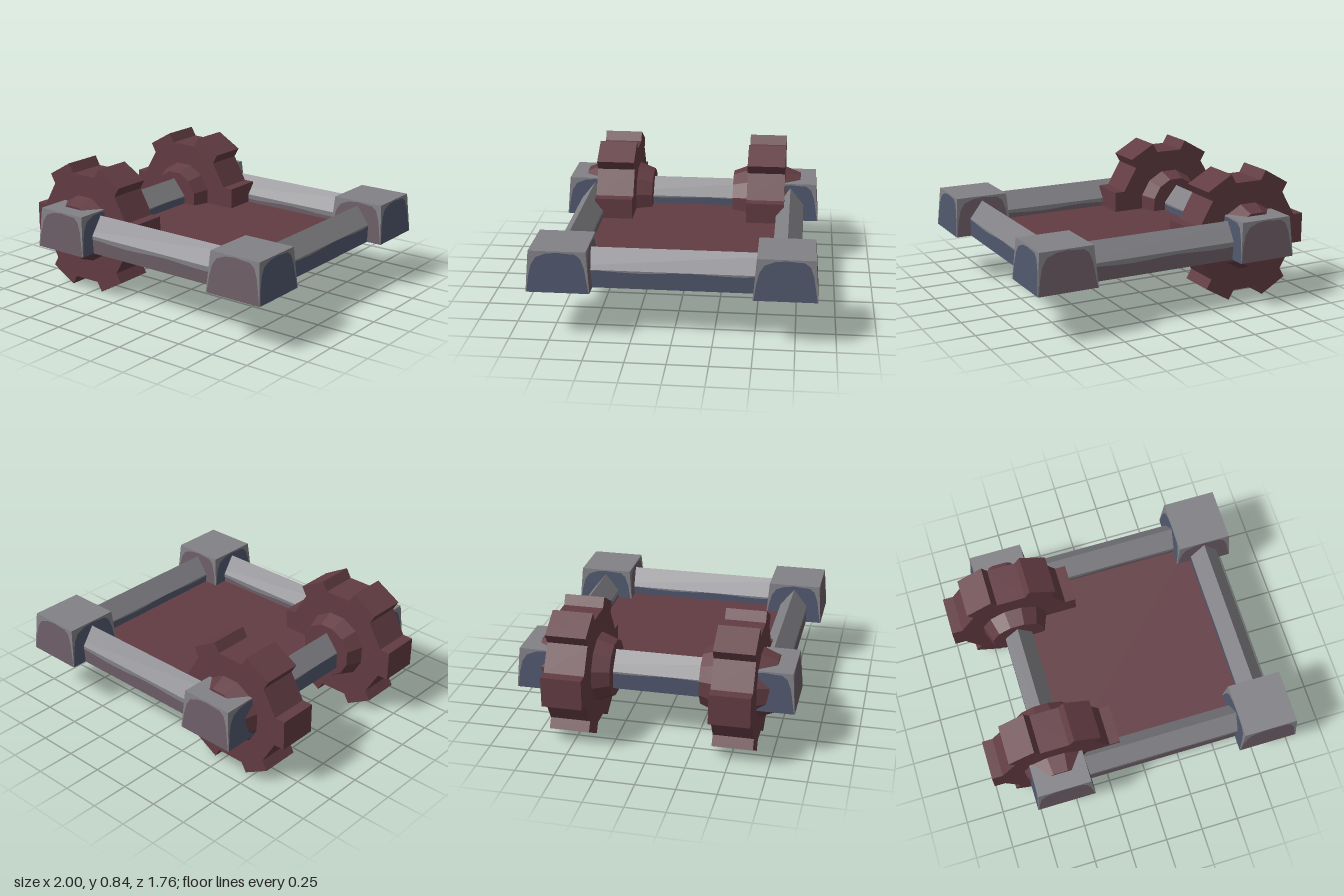
import * as THREE from 'three';

const BASE = 0.32, BLOCK_TOP = 0.58, EAVE = 0.435, RIDGE = 0.55;
const LEFT = -0.575, RIGHT = 0.805, SIDE = 0.685;
const RAIL_HALF = 0.092;

const material = (name, color) => {
  const m = new THREE.MeshStandardMaterial({ color, side: THREE.DoubleSide, flatShading: true });
  m.name = name;
  return m;
};

function mesh(name, geometry, mat) {
  const m = new THREE.Mesh(geometry, mat);
  m.name = name;
  return m;
}

const flat = points => new THREE.ShapeGeometry(new THREE.Shape(points.map(p => new THREE.Vector2(...p))));

// Outline of the worn paint on a block wall: u across (-1..1), v up (0..1)
const PATCH = [[-0.97, 0], [-0.94, 0.4], [-0.87, 0.68], [-0.72, 0.85], [-0.4, 0.94], [0, 0.97],
  [0.35, 0.95], [0.62, 0.94], [0.8, 0.84], [0.9, 0.6], [0.94, 0.3], [0.98, 0]];
const PATCH_BORDER = [[-1, 0], [-1, 1], [1, 1], [1, 0], ...PATCH.slice().reverse()];

// Lays a (u, v) outline on the sloping +z wall of a block
function blockWall(points) {
  const g = flat(points), pos = g.attributes.position;
  for (let i = 0; i < pos.count; i++) {
    const v = pos.getY(i), half = 0.195 - 0.02 * v;
    pos.setXYZ(i, pos.getX(i) * half, BASE + v * (BLOCK_TOP - BASE), half);
  }
  g.computeVertexNormals();
  return g;
}

// Two slopes of a rail roof along x
function roofGeometry(length) {
  const profile = [[RAIL_HALF, EAVE], [0, RIDGE], [-RAIL_HALF, EAVE]];
  const h = length / 2, verts = [];
  for (let i = 0; i < 2; i++) {
    const [z0, y0] = profile[i], [z1, y1] = profile[i + 1];
    verts.push(-h, y0, z0, h, y0, z0, h, y1, z1, -h, y0, z0, h, y1, z1, -h, y1, z1);
  }
  const g = new THREE.BufferGeometry();
  g.setAttribute('position', new THREE.Float32BufferAttribute(verts, 3));
  g.computeVertexNormals();
  return g;
}

// Six-toothed wheel with parallel-sided teeth
function gearGeometry() {
  const corners = [[0.357, -0.098], [0.4275, -0.098], [0.4275, 0.098], [0.357, 0.098]];
  const points = [];
  for (let i = 0; i < 6; i++) {
    for (const [x, y] of corners) {
      points.push(new THREE.Vector2(x, y).rotateAround(new THREE.Vector2(), i * Math.PI / 3));
    }
  }
  return new THREE.ExtrudeGeometry(new THREE.Shape(points), { depth: 0.256, bevelEnabled: false })
    .translate(0, 0, -0.128);
}

export function createModel() {
  const grey = material('frame grey', 0x818186);
  const mauve = material('worn mauve', 0x6b5c65);
  const blue = material('worn blue', 0x4f576c);
  const red = material('dark red', 0x623c43);
  const model = new THREE.Group();
  model.name = 'wheeledFrame';

  // Corner blocks, open underneath, with worn paint on each wall
  const patchGeo = blockWall(PATCH), borderGeo = blockWall(PATCH_BORDER);
  const topGeo = new THREE.PlaneGeometry(0.35, 0.35).rotateX(-Math.PI / 2).translate(0, BLOCK_TOP, 0);
  for (const x of [LEFT, RIGHT]) for (const z of [-SIDE, SIDE]) {
    const block = new THREE.Group();
    block.name = 'cornerBlock';
    block.add(mesh('blockTop', topGeo, grey));
    for (let i = 0; i < 4; i++) {
      const wall = new THREE.Group();
      wall.name = 'blockWall';
      wall.add(mesh('wallBorder', borderGeo, grey), mesh('wallPaint', patchGeo, i % 2 ? blue : mauve));
      wall.rotation.y = i * Math.PI / 2;
      block.add(wall);
    }
    block.position.set(x, 0, z);
    model.add(block);
  }

  // Ridged rails, open underneath, running into the blocks
  function addRail(name, x, z, span, turn, paint, height) {
    const length = span + 0.32, h = length / 2;
    const wave = [];
    for (let i = 0; i <= 16; i++) {
      wave.push([length * (0.5 - i / 16), height + 0.006 * Math.sin(i * 1.1)]);
    }
    const paintGeo = flat([[-h, BASE], [h, BASE], ...wave]).translate(0, 0, RAIL_HALF);
    const borderGeo = flat([[-h, EAVE], [h, EAVE], ...wave]).translate(0, 0, RAIL_HALF);
    const rail = new THREE.Group();
    rail.name = name;
    rail.add(mesh('railRoof', roofGeometry(length), grey));
    for (const a of [0, Math.PI]) {
      const wall = new THREE.Group();
      wall.name = 'railWall';
      wall.add(mesh('wallBorder', borderGeo, grey), mesh('wallPaint', paintGeo, paint));
      wall.rotation.y = a;
      rail.add(wall);
    }
    rail.position.set(x, 0, z);
    rail.rotation.y = turn;
    model.add(rail);
  }
  const midX = (LEFT + RIGHT) / 2;
  addRail('frontRail', midX, SIDE, RIGHT - LEFT, 0, mauve, 0.408);
  addRail('backRail', midX, -SIDE, RIGHT - LEFT, 0, mauve, 0.408);
  addRail('leftRail', RIGHT, 0, 2 * SIDE, Math.PI / 2, blue, 0.427);
  addRail('rightRail', LEFT, 0, 2 * SIDE, Math.PI / 2, blue, 0.427);

  // Floor panel, reaching under the rail ridges
  const floorGeo = new THREE.PlaneGeometry(RIGHT - LEFT, 2 * SIDE).rotateX(-Math.PI / 2);
  const floor = mesh('floorPanel', floorGeo, red);
  floor.position.set(midX, 0.38, 0);
  model.add(floor);

  // Toothed wheels with tapered hubs on both sides
  const gearGeo = gearGeometry();
  const hubGeo = new THREE.CylinderGeometry(0.181, 0.222, 0.107, 12)
    .rotateY(Math.PI / 12).rotateX(Math.PI / 2).translate(0, 0, 0.1815);
  for (const z of [-0.518, 0.518]) {
    const wheel = new THREE.Group();
    wheel.name = 'toothedWheel';
    wheel.add(mesh('gear', gearGeo, red));
    for (const a of [0, Math.PI]) {
      const hub = mesh('hub', hubGeo, red);
      hub.rotation.y = a;
      wheel.add(hub);
    }
    wheel.position.set(-0.5725, 0.42, z);
    model.add(wheel);
  }
  return model;
}
